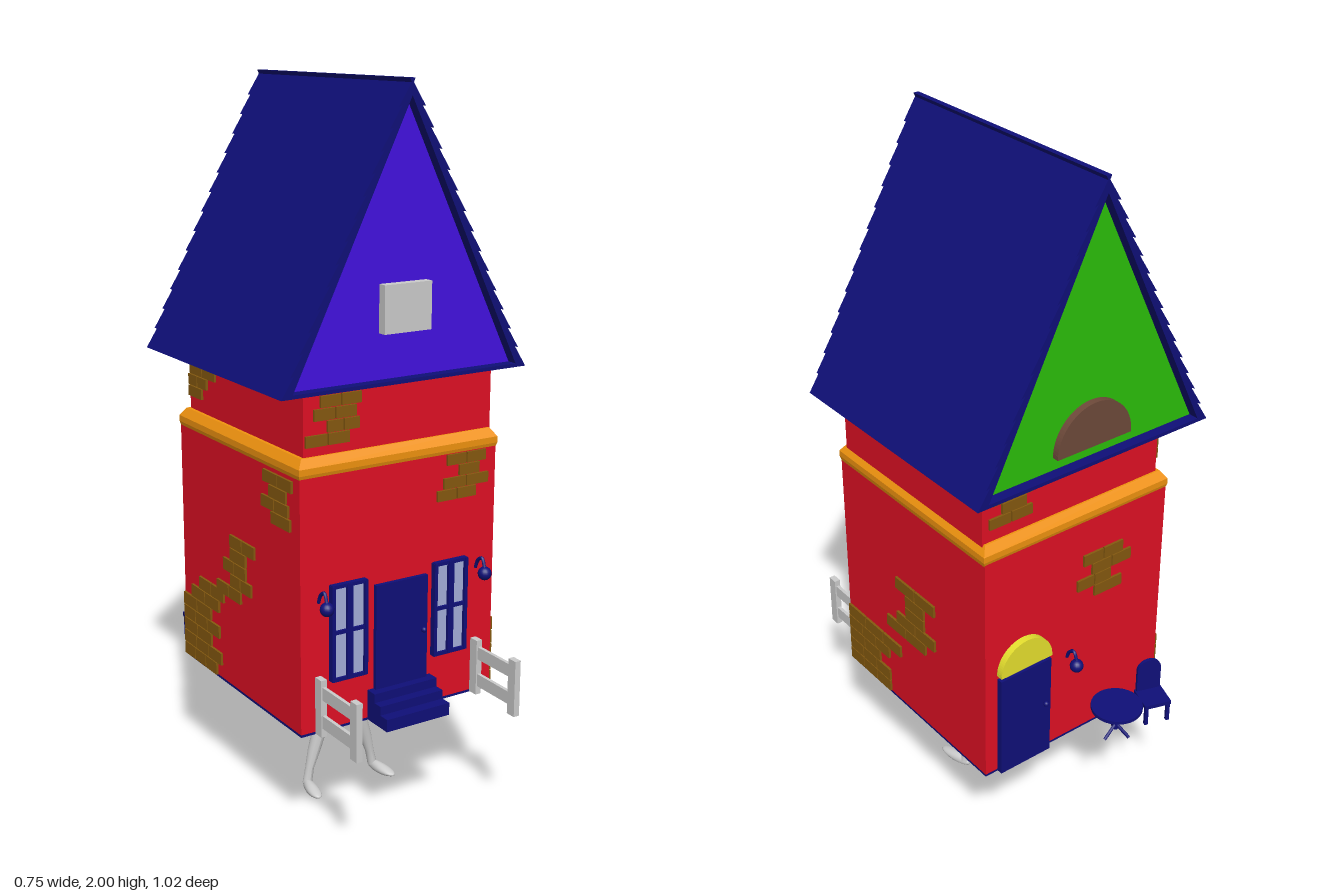
import * as THREE from 'three';

const mat = (color) => new THREE.MeshStandardMaterial({ color });
const RED = mat(0xe01024), NAVY = mat(0x0f0f78), ORANGE = mat(0xf0930f), BRICK = mat(0x85590f);
const PURPLE = mat(0x4310e0), GREEN = mat(0x2bbf0a), GREY = mat(0xcccccc), GLASS = mat(0xa3add9);
const LIME = mat(0x9ccc33), YELLOW = mat(0xe6e02e), PINK = mat(0xc9a3ad), BROWN = mat(0x6e4a3a);

function add(parent, name, geo, material, x = 0, y = 0, z = 0) {
  const m = new THREE.Mesh(geo, material);
  m.name = name;
  m.position.set(x, y, z);
  parent.add(m);
  return m;
}

function group(parent, name, x = 0, y = 0, z = 0, ry = 0) {
  const g = new THREE.Group();
  g.name = name;
  g.position.set(x, y, z);
  g.rotation.y = ry;
  parent.add(g);
  return g;
}

// Box given by its limits on each axis
const block = (parent, name, material, x0, x1, y0, y1, z0, z1) =>
  add(parent, name, new THREE.BoxGeometry(x1 - x0, y1 - y0, z1 - z0), material,
    (x0 + x1) / 2, (y0 + y1) / 2, (z0 + z1) / 2);

const extrude = (shape, depth) =>
  new THREE.ExtrudeGeometry(shape, { depth, bevelEnabled: false, curveSegments: 20 });
const polygon = (pts) => new THREE.Shape(pts.map(([x, y]) => new THREE.Vector2(x, y)));

// Patch of exposed bricks on a wall: one [start, end] span per course, from the top down
function brickPatch(wall, top, course, spans, z = 0) {
  const g = group(wall, 'brickPatch', 0, 0, z);
  spans.forEach(([a, b], row) => {
    const y = top - row * course;
    const n = Math.max(1, Math.round((b - a) / (course * 2)));
    const w = (b - a) / n;
    for (let i = 0; i < n; i++)
      block(g, 'brick', BRICK, a + i * w + 0.002, a + (i + 1) * w - 0.002, y - course + 0.003, y, -0.005, 0.007);
  });
}

// Half-round window with rim, sill and spokes
function fanWindow(wall, name, x, y, z, r, pane, rimMat) {
  const g = group(wall, name, x, y, z);
  const half = (radius) => new THREE.Shape().absarc(0, 0, radius, 0, Math.PI, false);
  add(g, 'pane', extrude(half(r * 0.95), 0.01), pane);
  const rim = half(r);
  rim.holes.push(new THREE.Path().absarc(0, 0, r * 0.88, 0, Math.PI, false));
  add(g, 'rim', extrude(rim, 0.02), rimMat);
  block(g, 'sill', rimMat, -r, r, -0.004, 0.008, 0, 0.02);
  for (let i = 1; i < 6; i++) {
    const a = (i * Math.PI) / 6;
    const s = add(g, 'spoke', new THREE.BoxGeometry(r * 0.9, 0.006, 0.015), rimMat,
      Math.cos(a) * r * 0.46, Math.sin(a) * r * 0.46, 0.008);
    s.rotation.z = a;
  }
}

// Globe lamp hanging from a curved bracket
function lamp(wall, x, y) {
  const g = group(wall, 'lamp', x, y);
  const path = new THREE.CatmullRomCurve3([[0, 0.005, 0], [0, 0.03, 0.012], [0, 0.04, 0.03], [0, 0.015, 0.042]]
    .map((p) => new THREE.Vector3(...p)));
  add(g, 'bracket', new THREE.TubeGeometry(path, 12, 0.005, 6), NAVY);
  add(g, 'globe', new THREE.SphereGeometry(0.019, 16, 12), NAVY, 0, 0, 0.042);
}

function casement(wall, x0, x1) {
  const g = group(wall, 'window');
  const y0 = 0.465, y1 = 0.73, mid = (x0 + x1) / 2;
  block(g, 'glass', GLASS, x0, x1, y0, y1, 0, 0.008);
  for (const x of [x0 + 0.003, mid - 0.004, mid + 0.004, x1 - 0.003])
    block(g, 'upright', NAVY, x - 0.005, x + 0.005, y0, y1, 0, 0.017);
  for (const y of [y0 + 0.003, 0.6, y1 - 0.003])
    block(g, 'crossbar', NAVY, x0, x1, y - 0.005, y + 0.005, 0, 0.015);
}

function fence(root, x) {
  const g = group(root, 'fence', x);
  for (const z of [0.31, 0.48]) block(g, 'post', GREY, -0.009, 0.009, 0.325, 0.485, z, z + 0.03);
  for (const y of [0.35, 0.43]) block(g, 'rail', GREY, -0.005, 0.005, y, y + 0.036, 0.33, 0.49);
}

// Tapered leg: a cylinder whose rings follow sections [x, y, z, radius]
function leg(root, side) {
  const g = group(root, 'leg', -0.006);
  const rings = [[0.022, 0.345, 0.02, 0.034], [0.03, 0.3, 0.02, 0.031], [0.05, 0.23, 0.019, 0.026],
    [0.07, 0.165, 0.017, 0.021], [0.087, 0.11, 0.016, 0.019], [0.103, 0.055, 0.016, 0.013], [0.112, 0.012, 0.018, 0.014]];
  const n = rings.length - 1;
  const geo = new THREE.CylinderGeometry(1, 1, 1, 16, n);
  const p = geo.attributes.position;
  for (let i = 0; i < p.count; i++) {
    const [x, y, z, r] = rings[Math.round((0.5 - p.getY(i)) * n)];
    p.setXYZ(i, side * x + p.getX(i) * r, y, z + p.getZ(i) * r);
  }
  geo.computeVertexNormals();
  add(g, 'shin', geo, GREY);
  // Foot: flat sole, low at the toes
  const foot = new THREE.SphereGeometry(1, 18, 12);
  const f = foot.attributes.position;
  for (let i = 0; i < f.count; i++) {
    const z = f.getZ(i);
    f.setXYZ(i, f.getX(i) * (0.018 + 0.004 * z), Math.max(0, 0.008 + f.getY(i) * (0.016 - 0.006 * z)), z * 0.057);
  }
  foot.computeVertexNormals();
  add(g, 'foot', foot, GREY, side * 0.119, 0, 0.055).rotation.y = side * 0.15;
}

function roof(root) {
  const g = group(root, 'roof', -0.002);
  // Saw-toothed shingle outline, mirrored about the ridge
  const rows = 14, right = [];
  for (let i = 0; i < rows; i++) {
    const at = (k) => [0.362 * (1 - k / rows), 1.245 + 0.74 * (k / rows)];
    const [x, y] = at(i), [xt, yt] = at(i + 1);
    right.push([x + 0.014, y], [xt + 0.003, yt + 0.004]);
  }
  const left = right.map(([x, y]) => [-x, y]).reverse();
  const outline = polygon([...right, [0.008, 2], [-0.008, 2], ...left]);
  const tri = [[-0.343, 1.255], [0.343, 1.255], [0, 1.958]];
  outline.holes.push(new THREE.Path(tri.map(([x, y]) => new THREE.Vector2(x, y)).reverse()));
  add(g, 'shingles', extrude(outline, 0.755), NAVY, 0, 0, -0.415);
  add(g, 'frontGable', extrude(polygon(tri), 0.3), PURPLE, 0, 0, 0.01);
  add(g, 'backGable', extrude(polygon(tri), 0.3), GREEN, 0, 0, -0.385);
  block(g, 'gableWindow', GREY, -0.073, 0.07, 1.375, 1.5, 0.3, 0.336);
}

// Four-sided cornice piece, narrowing to the top
function cornice(g, w0, w1, y0, y1) {
  const geo = new THREE.CylinderGeometry(w1 * Math.SQRT1_2, w0 * Math.SQRT1_2, y1 - y0, 4).rotateY(Math.PI / 4);
  const m = add(g, 'cornice', geo.toNonIndexed(), ORANGE, -0.002, (y0 + y1) / 2, -0.02);
  m.scale.z = 1.07;
  m.geometry.computeVertexNormals();
}

function patioSet(root) {
  const t = group(root, 'table', -0.09, 0, -0.437);
  add(t, 'tableTop', new THREE.CylinderGeometry(0.073, 0.073, 0.01, 32), NAVY, 0, 0.428, 0);
  add(t, 'tablePost', new THREE.CylinderGeometry(0.007, 0.007, 0.08, 10), NAVY, 0, 0.388, 0);
  for (let i = 0; i < 3; i++) {
    const f = group(t, 'tableFoot', 0, 0, 0, (i * Math.PI * 2) / 3);
    add(f, 'foot', new THREE.CylinderGeometry(0.005, 0.005, 0.055, 6), NAVY, 0.02, 0.346, 0).rotation.z = 0.8;
  }
  const c = group(root, 'chair', -0.228, 0, -0.437, -0.32);
  block(c, 'seat', NAVY, -0.04, 0.04, 0.385, 0.397, -0.04, 0.04);
  for (const x of [-0.033, 0.033]) for (const z of [-0.033, 0.033])
    block(c, 'chairLeg', NAVY, x - 0.005, x + 0.005, 0.327, 0.388, z - 0.005, z + 0.005);
  const back = new THREE.Shape().moveTo(-0.036, 0).lineTo(0.036, 0).lineTo(0.036, 0.07)
    .bezierCurveTo(0.036, 0.115, -0.036, 0.115, -0.036, 0.07);
  add(c, 'chairBack', extrude(back, 0.01), NAVY, 0, 0.397, 0.03);
}

export function createModel() {
  const root = new THREE.Group();
  root.name = 'house';

  // Storeys, floor and cornice
  block(root, 'lowerStorey', RED, -0.31, 0.305, 0.33, 1.03, -0.35, 0.31);
  block(root, 'floor', NAVY, -0.31, 0.305, 0.323, 0.33, -0.35, 0.31);
  block(root, 'upperStorey', RED, -0.287, 0.298, 1.03, 1.25, -0.33, 0.29);
  cornice(root, 0.612, 0.622, 1.018, 1.036);
  cornice(root, 0.622, 0.622, 1.036, 1.053);
  cornice(root, 0.622, 0.59, 1.053, 1.076);
  roof(root);
  for (const side of [-1, 1]) leg(root, side);

  // Wall frames: local x runs to the right as seen from outside, local z points out
  const front = group(root, 'frontWall', 0, 0, 0.31);
  const east = group(root, 'leftWall', 0.305, 0, 0, Math.PI / 2);
  const back = group(root, 'backWall', 0, 0, -0.35, Math.PI);
  const west = group(root, 'rightWall', -0.31, 0, 0, -Math.PI / 2);

  // Front door, steps, windows, lamps and fences
  block(front, 'frontDoor', NAVY, -0.085, 0.08, 0.4, 0.705, 0, 0.012);
  add(front, 'doorKnob', new THREE.SphereGeometry(0.008, 12, 8), NAVY, 0.064, 0.553, 0.02);
  block(front, 'upperStep', NAVY, -0.104, 0.098, 0.325, 0.41, 0, 0.035);
  block(front, 'middleStep', NAVY, -0.104, 0.098, 0.325, 0.385, 0, 0.063);
  block(front, 'lowerStep', NAVY, -0.104, 0.098, 0.325, 0.36, 0, 0.095);
  casement(front, -0.222, -0.115);
  casement(front, 0.102, 0.208);
  for (const x of [-0.256, 0.247]) {
    lamp(front, x, 0.685);
    fence(root, x - 0.002);
  }

  // Back door with fanlight, lamp, gable window and patio furniture
  block(back, 'backDoor', NAVY, -0.265, -0.095, 0.325, 0.645, 0, 0.018);
  add(back, 'doorKnob', new THREE.SphereGeometry(0.008, 12, 8), NAVY, -0.115, 0.5, 0.024);
  fanWindow(back, 'fanlight', -0.18, 0.66, 0, 0.086, LIME, YELLOW);
  lamp(back, -0.025, 0.6);
  fanWindow(back, 'gableFanWindow', 0, 1.295, 0.034, 0.12, PINK, BROWN);
  patioSet(root);

  // Exposed brickwork
  brickPatch(front, 1.23, 0.033, [[-0.24, -0.115], [-0.26, -0.13], [-0.22, -0.12], [-0.285, -0.15]], -0.02);
  brickPatch(front, 1.025, 0.032, [[0.14, 0.27], [0.18, 0.25], [0.13, 0.28], [0.11, 0.24]]);
  brickPatch(east, 0.77, 0.039, [[-0.055, 0.13], [-0.01, 0.08], [-0.01, 0.08], [-0.055, 0.13], [-0.105, 0.085]]);
  brickPatch(east, 0.53, 0.04, [[-0.31, -0.04], [-0.31, -0.1], [-0.31, -0.15], [-0.31, -0.1], [-0.31, -0.1]]);
  brickPatch(back, 0.92, 0.037, [[0.02, 0.16], [0.05, 0.19], [0, 0.12], [0.06, 0.16]]);
  brickPatch(back, 1.21, 0.033, [[-0.27, -0.14], [-0.24, -0.16], [-0.28, -0.14]], -0.02);
  brickPatch(west, 0.78, 0.038, [[-0.06, 0.08], [-0.06, 0.03], [-0.1, 0.03], [-0.06, 0.06], [-0.14, 0]]);
  brickPatch(west, 0.6, 0.039, [[-0.25, -0.1], [-0.3, -0.13], [-0.35, -0.18], [-0.35, -0.13], [-0.35, -0.18], [-0.35, -0.12], [-0.35, -0.15]]);
  brickPatch(west, 1.015, 0.035, [[0.13, 0.28], [0.16, 0.25], [0.12, 0.26], [0.17, 0.27]]);
  brickPatch(west, 1.21, 0.033, [[-0.32, -0.17], [-0.33, -0.22], [-0.33, -0.25]], -0.023);
  return root;
}
